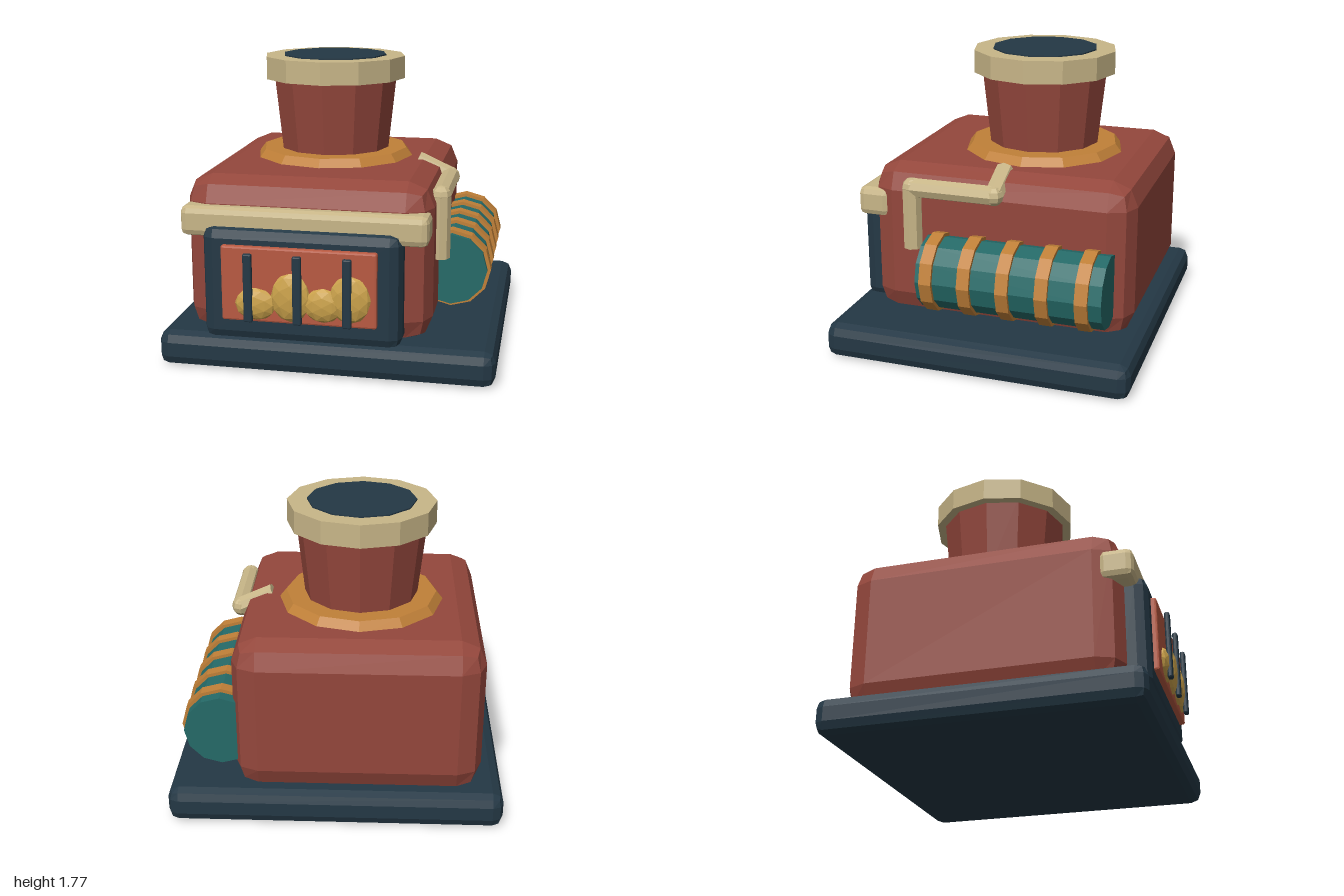
import * as THREE from 'three';
import { RoundedBoxGeometry } from 'three/addons/geometries/RoundedBoxGeometry.js';

const paint = (name, color) => new THREE.MeshStandardMaterial({ name, color, flatShading: true });

export function createModel() {
  const model = new THREE.Group();
  model.name = 'stove';

  const navy = paint('darkNavy', 0x243845);
  const brick = paint('brickRed', 0x94473c);
  const cream = paint('cream', 0xc8b688);
  const copper = paint('copper', 0xc08038);
  const teal = paint('teal', 0x256a68);
  const glow = paint('glowingOrange', 0xb85a42);
  const gold = paint('emberGold', 0xcba24b);

  const add = (name, geometry, material, x = 0, y = 0, z = 0, parent = model) => {
    const mesh = new THREE.Mesh(geometry, material);
    mesh.name = name;
    mesh.position.set(x, y, z);
    parent.add(mesh);
    return mesh;
  };

  // Chamfered box given by its limits on each axis
  const block = (name, material, [x0, x1], [y0, y1], [z0, z1], radius, parent) =>
    add(name, new RoundedBoxGeometry(x1 - x0, y1 - y0, z1 - z0, 1, radius), material,
      (x0 + x1) / 2, (y0 + y1) / 2, (z0 + z1) / 2, parent);

  // Base, body and mantel
  block('base', navy, [-1, 1], [0, 0.215], [-0.97, 0.91], 0.065);
  block('body', brick, [-0.87, 0.61], [0.17, 1.13], [-0.88, 0.76], 0.15);
  block('mantel', cream, [-0.86, 0.605], [0.795, 0.975], [0.635, 0.84], 0.04);

  // Fire door with embers behind three bars
  const door = new THREE.Group();
  door.name = 'fireDoor';
  model.add(door);
  block('doorFrame', navy, [-0.72, 0.46], [0.18, 0.877], [0.66, 0.885], 0.07, door);
  block('firePanel', glow, [-0.59, 0.325], [0.325, 0.775], [0.86, 0.917], 0.012, door);
  const embers = [
    [-0.385, 0.435, 0.125, 0.1], [-0.175, 0.485, 0.12, 0.15],
    [0.015, 0.45, 0.115, 0.105], [0.17, 0.495, 0.125, 0.145],
  ];
  for (const [x, y, rx, ry] of embers) {
    add('ember', new THREE.IcosahedronGeometry(1, 1), gold, x, y, 0.913, door).scale.set(rx, ry, 0.045);
  }
  for (const x of [-0.42, -0.13, 0.16]) {
    block('doorBar', navy, [x - 0.026, x + 0.026], [0.335, 0.745], [0.935, 0.965], 0.009, door);
  }

  // Chimney: collar, tapered stack, cap and dark opening
  const chimney = new THREE.Group();
  chimney.name = 'chimney';
  chimney.position.set(-0.13, 0, -0.135);
  model.add(chimney);
  const ring = (name, material, rTop, rBottom, y0, y1) =>
    add(name, new THREE.CylinderGeometry(rTop, rBottom, y1 - y0, 12), material, 0, (y0 + y1) / 2, 0, chimney);
  ring('collar', copper, 0.465, 0.52, 1.11, 1.18);
  ring('stack', brick, 0.4, 0.345, 1.15, 1.66);
  ring('cap', cream, 0.45, 0.45, 1.625, 1.765);
  ring('opening', navy, 0.33, 0.33, 1.766, 1.774);

  // Side tank lying along z, with copper bands
  const tank = new THREE.Group();
  tank.name = 'sideTank';
  tank.position.set(0.685, 0.53, 0);
  model.add(tank);
  const drum = (name, material, radius, length, z) => {
    add(name, new THREE.CylinderGeometry(radius, radius, length, 12), material, 0, 0, z, tank).rotation.x = Math.PI / 2;
  };
  drum('tankShell', teal, 0.22, 1.125, -0.217);
  for (let i = 0; i < 5; i++) drum('tankBand', copper, 0.241, 0.076, 0.275 - i * 0.235);

  // Bent pipe: straight runs joined by faceted elbows
  const pipe = new THREE.Group();
  pipe.name = 'pipe';
  model.add(pipe);
  const path = [[0.63, 0.64, 0.465], [0.63, 1.02, 0.465], [0.63, 1.02, -0.055], [0.42, 1.115, -0.055]]
    .map((p) => new THREE.Vector3(...p));
  const up = new THREE.Vector3(0, 1, 0);
  for (let i = 0; i < path.length - 1; i++) {
    const run = path[i + 1].clone().sub(path[i]);
    const mid = path[i].clone().addScaledVector(run, 0.5);
    add('pipeRun', new THREE.CylinderGeometry(0.06, 0.06, run.length(), 8), cream, mid.x, mid.y, mid.z, pipe)
      .quaternion.setFromUnitVectors(up, run.normalize());
    if (i > 0) add('pipeElbow', new THREE.SphereGeometry(0.061, 8, 6), cream, ...path[i].toArray(), pipe);
  }

  return model;
}
